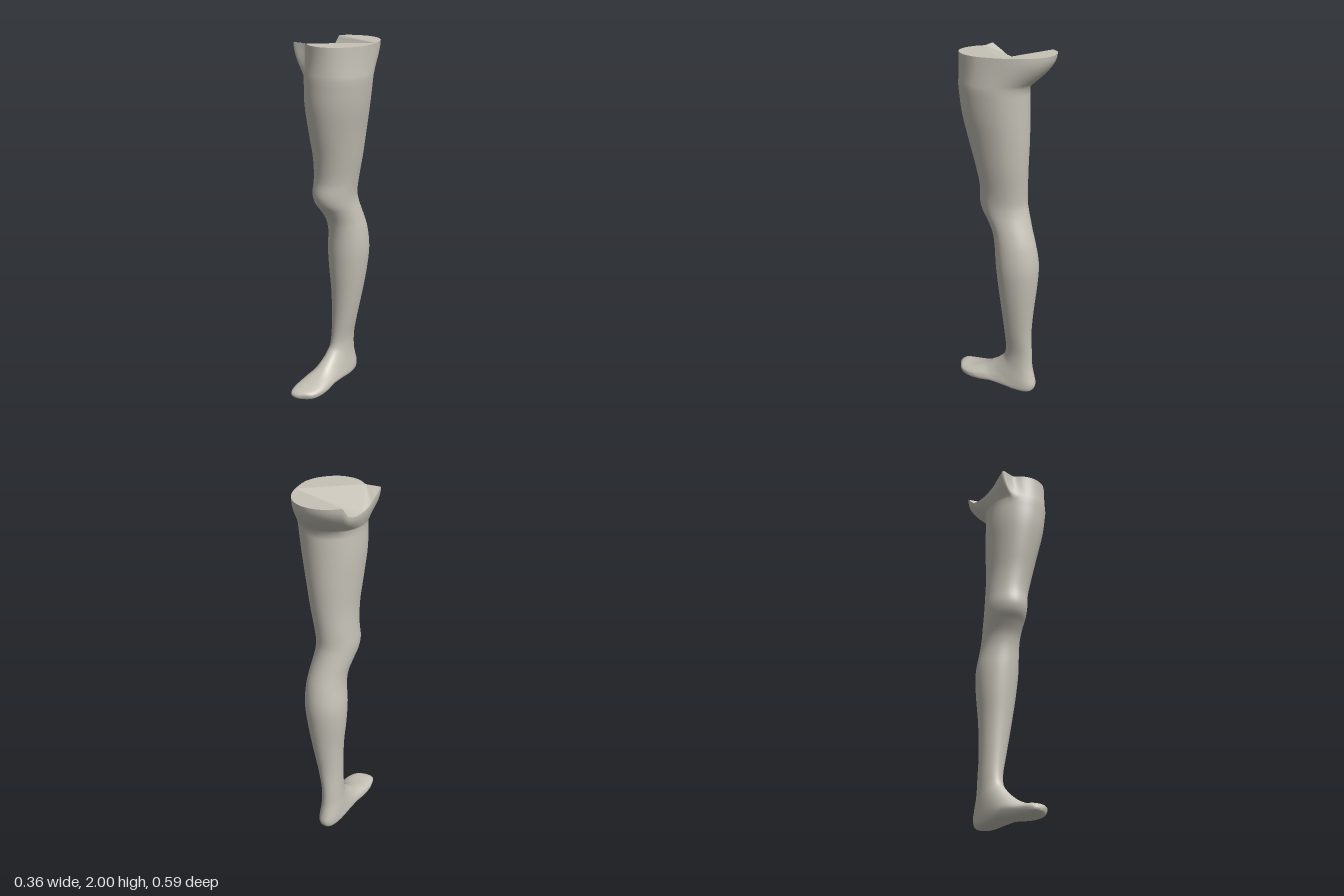
import * as THREE from 'three';

// Open rim at the hip, seen from above: x, z, y. The inner side dips to the crotch.
const RIM = [
  [0.172, 0, 2], [0.166, 0.05, 2], [0.146, 0.1, 2], [0.112, 0.143, 2], [0.072, 0.17, 2], [0.025, 0.18, 2],
  [-0.02, 0.175, 2], [-0.06, 0.157, 2], [-0.1, 0.127, 2], [-0.14, 0.128, 2], [-0.183, 0.13, 2],
  [-0.183, 0.08, 1.97], [-0.183, 0.03, 1.94], [-0.183, -0.04, 1.925], [-0.183, -0.1, 1.925],
  [-0.183, -0.16, 1.94], [-0.183, -0.19, 1.965], [-0.183, -0.222, 2], [-0.14, -0.27, 2],
  [-0.06, -0.297, 2], [0.01, -0.287, 2], [0.08, -0.24, 2], [0.125, -0.175, 2], [0.15, -0.11, 2],
];

// Cross-sections from thigh to ankle: y, front z, back z, inner x, outer x
const LEG = [
  [1.84, 0.19, -0.182, -0.16, 0.177], [1.7, 0.182, -0.18, -0.162, 0.158], [1.55, 0.154, -0.178, -0.152, 0.128],
  [1.4, 0.12, -0.17, -0.143, 0.1], [1.28, 0.105, -0.162, -0.148, 0.077], [1.2, 0.111, -0.16, -0.153, 0.068],
  [1.15, 0.097, -0.17, -0.149, 0.067], [1.1, 0.06, -0.185, -0.14, 0.07], [1.04, 0.024, -0.205, -0.129, 0.076],
  [0.97, 0.006, -0.226, -0.128, 0.084], [0.85, -0.002, -0.243, -0.142, 0.089], [0.72, -0.013, -0.235, -0.138, 0.076],
  [0.58, -0.026, -0.219, -0.125, 0.053], [0.4, -0.037, -0.2, -0.12, 0.018], [0.27, -0.037, -0.2, -0.122, -0.009],
];

// Tilted sections through the foot: top z, top y, sole z, sole y, inner x, outer x
const FOOT = [
  [-0.025, 0.215, -0.205, 0.165, -0.124, -0.012], [0, 0.185, -0.219, 0.1, -0.127, -0.009],
  [0.03, 0.157, -0.228, 0.05, -0.129, -0.004], [0.06, 0.135, -0.213, 0.014, -0.131, 0],
  [0.085, 0.118, -0.16, 0.002, -0.132, 0.005], [0.11, 0.105, -0.08, 0.009, -0.133, 0.01],
  [0.14, 0.092, 0.02, 0.018, -0.136, 0.02], [0.18, 0.079, 0.1, 0.01, -0.139, 0.03],
  [0.22, 0.071, 0.18, 0.004, -0.136, 0.026], [0.255, 0.066, 0.23, 0.006, -0.127, 0.009],
  [0.279, 0.058, 0.266, 0.011, -0.117, -0.028], [0.293, 0.046, 0.29, 0.022, -0.103, -0.058],
  [0.297, 0.035, 0.297, 0.034, -0.086, -0.085],
];

const PER = 3, N = RIM.length * PER;

function rimPoints() {
  const curve = new THREE.CatmullRomCurve3(RIM.map(([x, z, y]) => new THREE.Vector3(x, y, z)), true);
  return Array.from({ length: N }, (_, i) => {
    const p = curve.getPoint(i / N);
    return p.set(Math.max(p.x, -0.183), Math.min(p.y, 2), p.z);
  });
}

// Smoothly interpolated rings from the thigh down to the toe tip
function limbRings(angles) {
  const sections = [...LEG.map(([y, f, b, x0, x1]) => [f, y, b, y, x0, x1]), ...FOOT];
  const front = new THREE.CatmullRomCurve3(sections.map((s) => new THREE.Vector3(s[4], s[1], s[0])));
  const back = new THREE.CatmullRomCurve3(sections.map((s) => new THREE.Vector3(s[5], s[3], s[2])));
  const steps = (sections.length - 1) * 4;
  const rings = [];
  for (let r = 0; r <= steps; r++) {
    const f = front.getPoint(r / steps), b = back.getPoint(r / steps);
    const cx = (f.x + b.x) / 2, w = (b.x - f.x) / 2;
    // the foot is squarer in section than the leg
    const power = 1 - 0.22 * THREE.MathUtils.smoothstep(r / 4, LEG.length - 1, LEG.length + 4);
    const round = (v) => Math.sign(v) * Math.abs(v) ** power;
    rings.push(angles.map((a) => {
      const c = round(Math.cos(a)), t = (round(Math.sin(a)) + 1) / 2;
      return new THREE.Vector3(cx + w * c, b.y + (f.y - b.y) * t, b.z + (f.z - b.z) * t);
    }));
  }
  return rings;
}

function loft(rings) {
  const index = [];
  for (let r = 0; r < rings.length - 1; r++) {
    for (let i = 0; i < N; i++) {
      const j = (i + 1) % N, a = r * N, b = a + N;
      index.push(a + i, a + j, b + i, a + j, b + j, b + i);
    }
  }
  const g = new THREE.BufferGeometry().setFromPoints(rings.flat());
  g.setIndex(index);
  g.computeVertexNormals();
  return g;
}

// Cut face: two fans of flat facets that follow the dipping inner rim
function capGeometry(rim) {
  const outer = 23 * PER, groin = 8 * PER, middle = 13 * PER;
  const points = [];
  const tri = (a, b, c) => points.push(rim[a], rim[b], rim[c]);
  for (let i = 0; i < N; i++) {
    const j = (i + 1) % N;
    const pivot = i >= groin && i < middle ? groin : outer;
    if (i !== pivot && j !== pivot) tri(pivot, j, i);
  }
  tri(outer, middle, groin);
  const g = new THREE.BufferGeometry().setFromPoints(points);
  g.computeVertexNormals();
  return g;
}

export function createModel() {
  const skin = new THREE.MeshStandardMaterial({ color: 0xc6c2b7, side: THREE.DoubleSide });
  skin.name = 'paleSkin';

  const rim = rimPoints();
  const angles = rim.map((p) => Math.atan2(p.z + 0.03, p.x));
  const rings = limbRings(angles);

  // Hip: rounds out from the top of the thigh to the rim
  const hip = [];
  for (let k = 0; k < 8; k++) {
    const t = 1 - k / 8, s = Math.sin((t * Math.PI) / 2);
    hip.push(rim.map((p, i) => {
      const q = rings[0][i];
      return new THREE.Vector3(q.x + (p.x - q.x) * s, q.y + (p.y - q.y) * t, q.z + (p.z - q.z) * s);
    }));
  }

  const group = new THREE.Group();
  group.name = 'humanLeg';
  const leg = new THREE.Mesh(loft([...hip, ...rings]), skin);
  leg.name = 'legAndFoot';
  const cap = new THREE.Mesh(capGeometry(rim), skin);
  cap.name = 'hipCutFace';
  group.add(leg, cap);
  return group;
}
